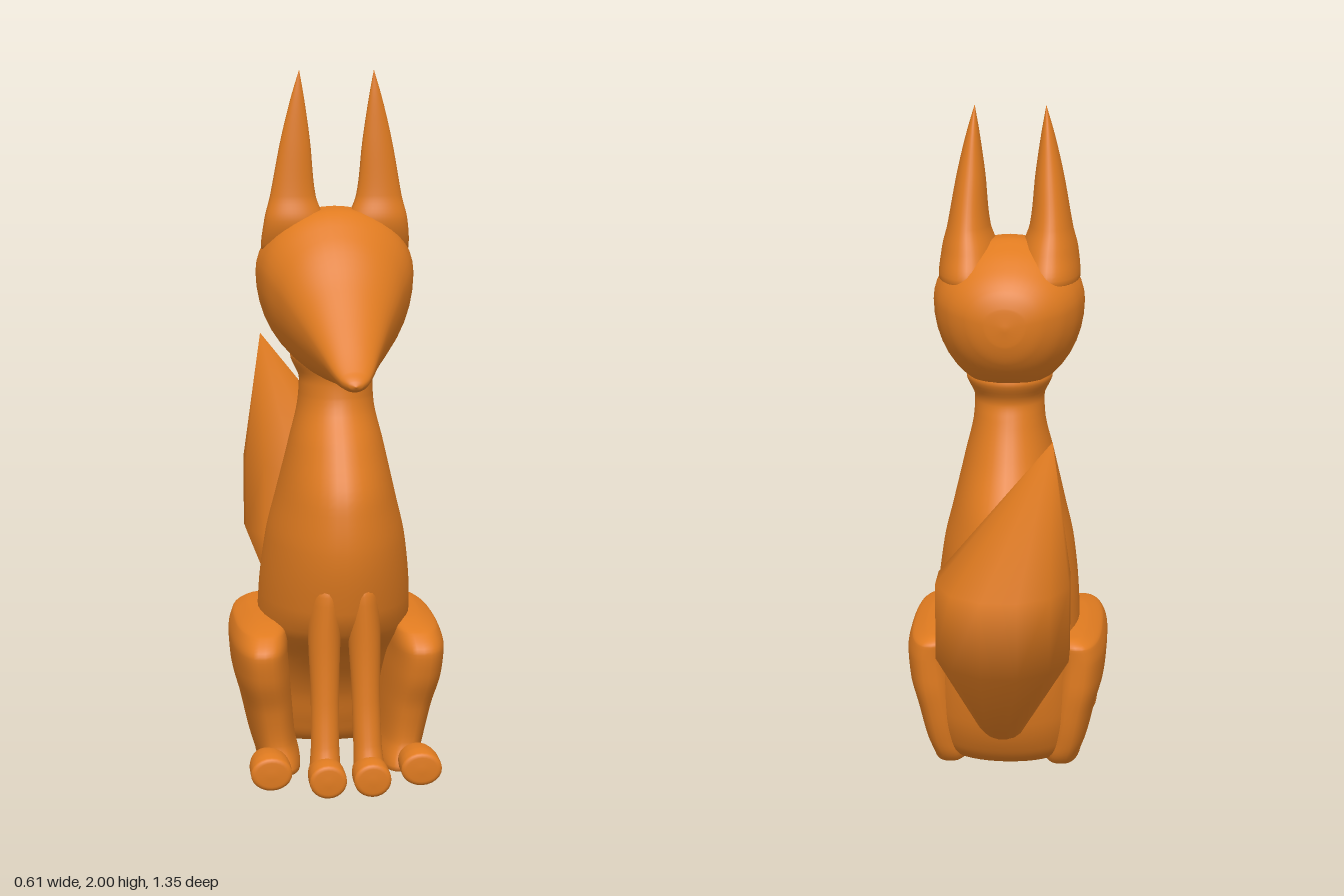
import * as THREE from 'three';
import { mergeVertices } from 'three/addons/utils/BufferGeometryUtils.js';

const fur = new THREE.MeshStandardMaterial({ color: 0xe07b20 });

// Overshoot-free cubic interpolation of one column of a section table
function sample(rows, col, i, u) {
  const secant = k => (rows[k + 1][col] - rows[k][col]) / (rows[k + 1][0] - rows[k][0]);
  const slope = k => {
    if (k === 0) return secant(0);
    if (k === rows.length - 1) return secant(k - 1);
    const a = secant(k - 1), b = secant(k);
    return a * b <= 0 ? 0 : (2 * a * b) / (a + b);
  };
  const h = rows[i + 1][0] - rows[i][0], v = u * u * (3 - 2 * u);
  return rows[i][col] * (1 - v) + rows[i + 1][col] * v
    + h * (slope(i) * u * (1 - u) ** 2 - slope(i + 1) * u * u * (1 - u));
}

// Skin over rounded sections [t, centreX, radiusX, low, high] stacked along y or z.
// low/high span the remaining axis; bias places the widest point between them.
function loft(name, axis, rows, { sides = 40, steps = 6, power = 1, bias = 0.5, phase = 0 } = {}) {
  const pos = [], index = [];
  let rings = 0;
  const ring = (t, cx, rx, lo, hi) => {
    const mid = lo + (hi - lo) * bias;
    for (let j = 0; j < sides; j++) {
      const a = phase + (j / sides) * Math.PI * 2, c = Math.cos(a), s = Math.sin(a);
      const x = cx + rx * Math.sign(c) * Math.abs(c) ** power;
      const w = mid + (s > 0 ? hi - mid : mid - lo) * Math.sign(s) * Math.abs(s) ** power;
      if (axis === 'y') pos.push(x, t, w);
      else pos.push(x, w, t);
    }
    rings++;
  };
  for (let i = 0; i < rows.length - 1; i++) {
    for (let k = 0; k < steps; k++) {
      const u = k / steps;
      const t = rows[i][0] + (rows[i + 1][0] - rows[i][0]) * u;
      ring(t, ...[1, 2, 3, 4].map(c => sample(rows, c, i, u)));
    }
  }
  ring(...rows[rows.length - 1]);
  for (let i = 0; i < rings - 1; i++) {
    for (let j = 0; j < sides; j++) {
      const a = i * sides + j, b = i * sides + (j + 1) % sides, c = a + sides, d = b + sides;
      if (axis === 'y') index.push(a, c, b, b, c, d);
      else index.push(a, b, c, b, d, c);
    }
  }
  let geo = new THREE.BufferGeometry();
  geo.setAttribute('position', new THREE.Float32BufferAttribute(pos, 3));
  geo.setIndex(index);
  geo = mergeVertices(geo, 1e-5);
  geo.computeVertexNormals();
  const mesh = new THREE.Mesh(geo, fur);
  mesh.name = name;
  return mesh;
}

// Blunt paw lying along z
const paw = (name, x, r, back, front) => loft(name, 'z', [
  [back, x, 0, 0.05, 0.05], [back + 0.02, x, r * 0.8, 0.015, 0.09],
  [front - 0.05, x, r, 0.005, 0.105], [front - 0.012, x, r, 0.005, 0.1],
  [front - 0.003, x, r * 0.85, 0.013, 0.092], [front, x, 0, 0.052, 0.052],
], { sides: 24, steps: 4 });

export function createModel() {
  const model = new THREE.Group();
  model.name = 'sittingFox';

  // Torso and neck
  model.add(loft('body', 'y', [
    [0.03, 0, 0, 0.04, 0.04], [0.034, 0, 0.16, -0.05, 0.12], [0.1, 0, 0.195, -0.12, 0.16],
    [0.2, 0, 0.21, -0.16, 0.2], [0.33, 0, 0.215, -0.182, 0.3], [0.42, 0, 0.22, -0.185, 0.43],
    [0.5, 0, 0.218, -0.175, 0.47], [0.67, 0, 0.2, -0.14, 0.495], [0.8, 0, 0.17, -0.1, 0.48],
    [0.95, 0, 0.135, 0, 0.405], [1.08, 0, 0.107, 0.065, 0.33], [1.13, 0, 0.105, 0.08, 0.325],
    [1.2, 0, 0.13, 0.05, 0.34], [1.3, 0, 0, 0.2, 0.2],
  ]));

  // Head with a long pointed muzzle
  model.add(loft('head', 'z', [
    [-0.05, 0, 0, 1.39, 1.39], [-0.043, 0, 0.065, 1.33, 1.45], [-0.02, 0, 0.12, 1.275, 1.5],
    [0.03, 0, 0.175, 1.22, 1.55], [0.1, 0, 0.212, 1.175, 1.595], [0.17, 0, 0.225, 1.155, 1.618],
    [0.25, 0, 0.215, 1.145, 1.612], [0.35, 0, 0.175, 1.14, 1.54], [0.45, 0, 0.126, 1.145, 1.42],
    [0.55, 0, 0.082, 1.152, 1.305], [0.64, 0, 0.042, 1.152, 1.208], [0.665, 0, 0.022, 1.158, 1.186],
    [0.675, 0, 0, 1.17, 1.17],
  ], { bias: 0.6 }));

  // Paired parts, built on the left and mirrored with s
  for (const s of [1, -1]) {
    const side = s > 0 ? 'left' : 'right';
    model.add(loft(side + 'Ear', 'y', [
      [1.45, s * 0.11, 0, 0.15, 0.15], [1.5, s * 0.115, 0.095, 0.03, 0.24],
      [1.58, s * 0.118, 0.085, 0.065, 0.265], [1.65, s * 0.122, 0.064, 0.1, 0.25],
      [1.8, s * 0.116, 0.042, 0.152, 0.24], [1.92, s * 0.11, 0.019, 0.19, 0.231],
      [2, s * 0.105, 0, 0.221, 0.221],
    ], { bias: 0.75 }));

    model.add(loft(side + 'FrontLeg', 'y', [
      [0.03, s * 0.062, 0, 0.48, 0.48], [0.05, s * 0.062, 0.044, 0.43, 0.54],
      [0.13, s * 0.06, 0.04, 0.42, 0.51], [0.25, s * 0.058, 0.04, 0.4, 0.488],
      [0.4, s * 0.057, 0.045, 0.36, 0.478], [0.55, s * 0.05, 0.05, 0.3, 0.476],
      [0.65, s * 0.04, 0, 0.4, 0.4],
    ], { sides: 24 }));
    model.add(paw(side + 'FrontPaw', s * 0.062, 0.052, 0.43, 0.58));

    model.add(loft(side + 'Haunch', 'y', [
      [0.018, s * 0.17, 0, 0.15, 0.15], [0.022, s * 0.17, 0.06, -0.03, 0.41],
      [0.1, s * 0.187, 0.065, -0.07, 0.385], [0.2, s * 0.203, 0.072, -0.09, 0.4],
      [0.3, s * 0.22, 0.08, -0.1, 0.435], [0.37, s * 0.225, 0.08, -0.1, 0.445],
      [0.42, s * 0.218, 0.074, -0.1, 0.4], [0.445, s * 0.2, 0.05, -0.07, 0.3],
      [0.455, s * 0.19, 0, 0.1, 0.1],
    ], { power: 0.75 }));
    model.add(paw(side + 'HindPaw', s * 0.212, 0.058, 0.33, 0.495));
  }

  // Faceted tail rising to a point off to one side
  model.add(loft('tail', 'y', [
    [0.13, 0, 0.04, -0.12, -0.07], [0.2, 0, 0.068, -0.212, -0.115],
    [0.56, -0.025, 0.192, -0.682, -0.268], [0.78, -0.025, 0.192, -0.682, -0.268],
    [1.18, -0.16, 0, -0.475, -0.475],
  ], { sides: 12, steps: 1, phase: Math.PI / 12 }));

  return model;
}
